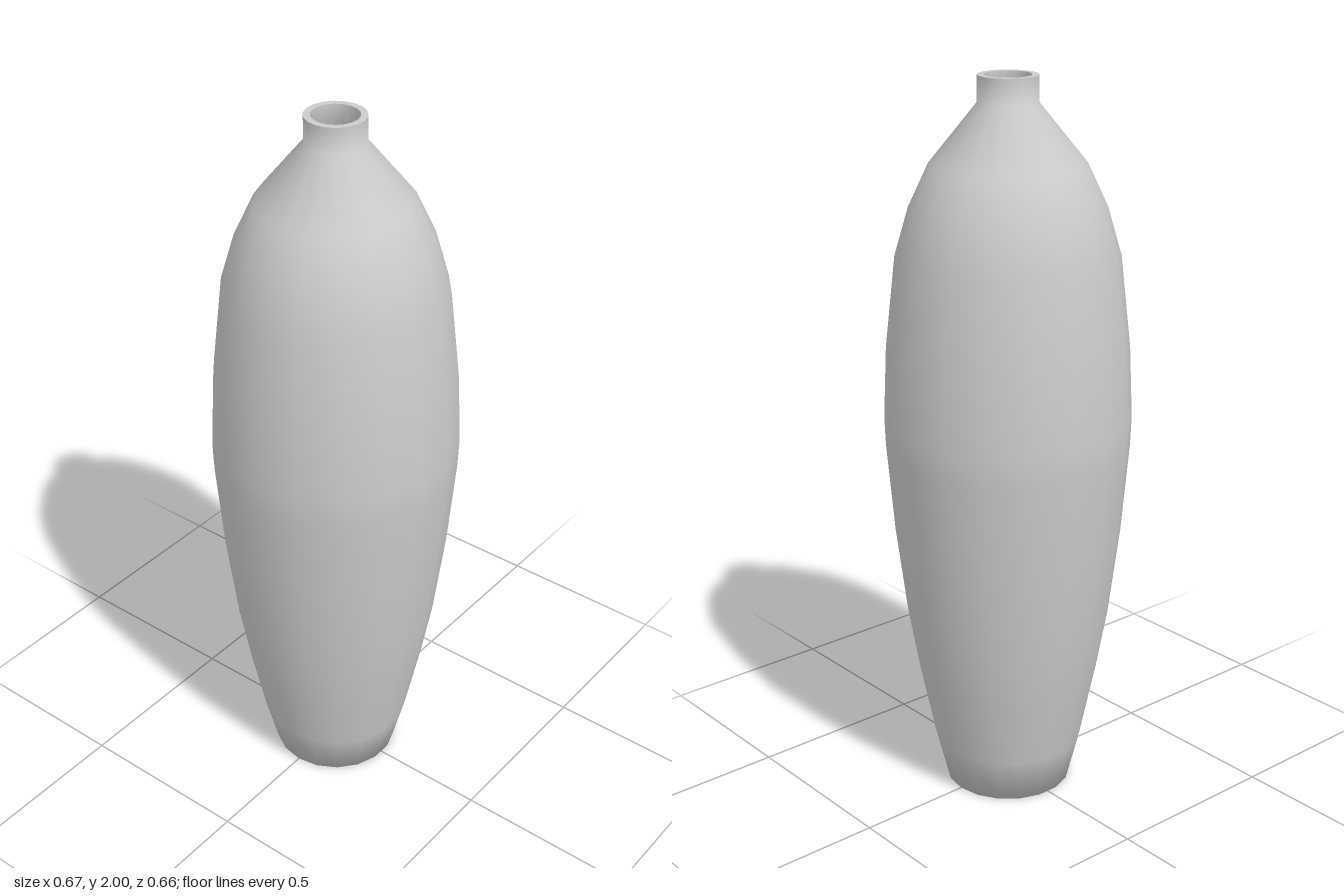
import * as THREE from 'three';

const SIDES = 18;

// Revolve a list of [radius, height] points, with a corner on the x axis
function revolve(name, profile, material) {
  const points = profile.map(([r, y]) => new THREE.Vector2(r, y));
  const mesh = new THREE.Mesh(new THREE.LatheGeometry(points, SIDES, Math.PI / 2), material);
  mesh.name = name;
  return mesh;
}

export function createModel() {
  const group = new THREE.Group();
  group.name = 'bottleVase';
  const material = new THREE.MeshStandardMaterial({ color: 0xcccccc, side: THREE.DoubleSide });

  // Base, belly, shoulder and neck
  const outer = [
    [0, 0], [0.176, 0], [0.209, 0.13], [0.25, 0.33], [0.28, 0.5],
    [0.311, 0.75], [0.332, 1.0], [0.335, 1.08], [0.326, 1.28], [0.298, 1.53],
    [0.26, 1.66], [0.206, 1.775], [0.08, 1.93], [0.08, 2.0],
  ];

  // Inside wall, from the mouth down to the floor
  const inner = [
    [0.062, 2.0], [0.062, 1.92], [0.19, 1.76], [0.242, 1.65], [0.28, 1.52],
    [0.308, 1.28], [0.317, 1.08], [0.293, 0.75], [0.262, 0.5], [0.232, 0.33],
    [0.191, 0.13], [0.16, 0.03], [0, 0.03],
  ];

  group.add(
    revolve('body', outer, material),
    revolve('rim', [[0.08, 2.0], [0.062, 2.0]], material),
    revolve('innerWall', inner, material),
  );
  return group;
}
